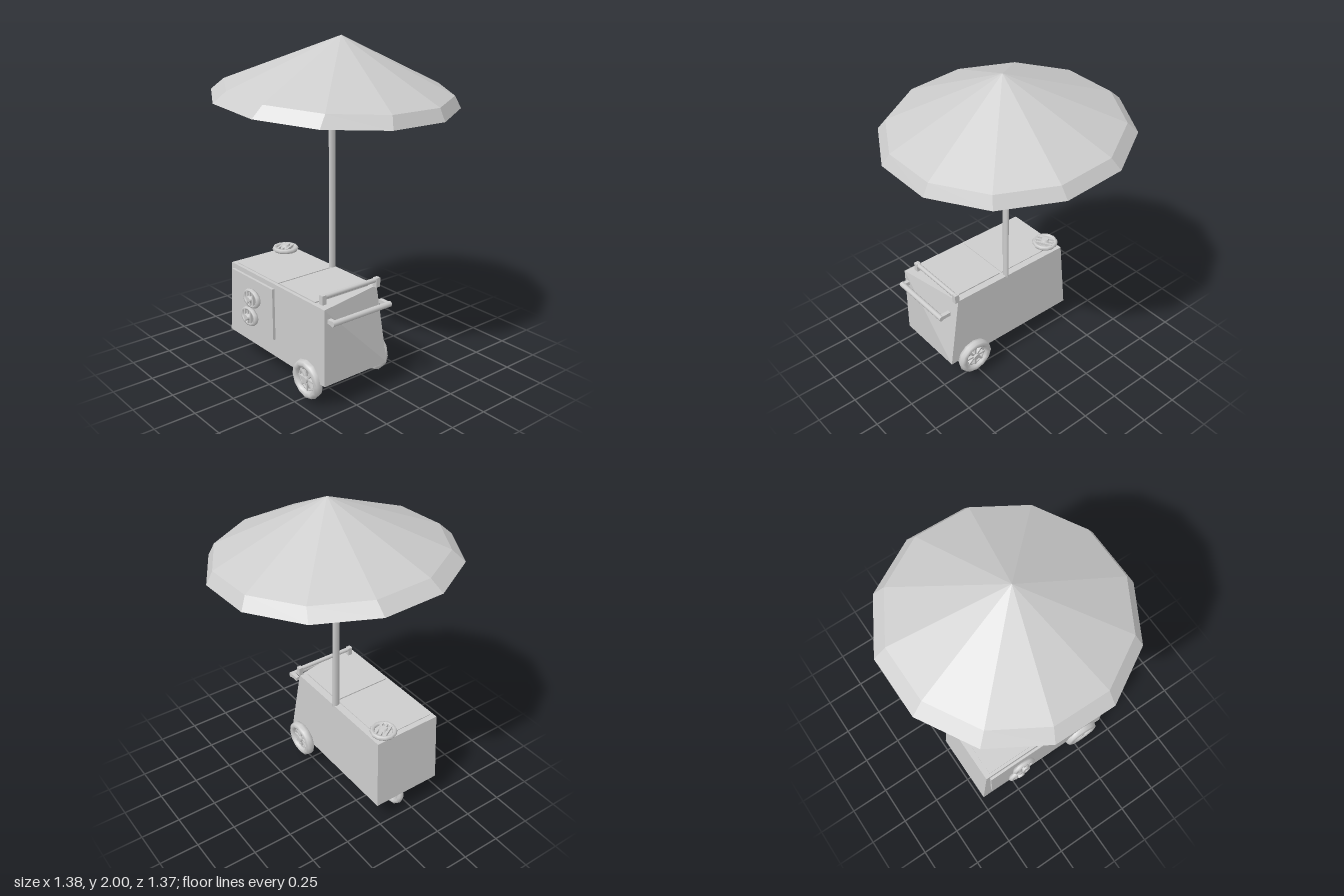
import * as THREE from 'three';

const grey = new THREE.MeshStandardMaterial({ color: 0xcccccc });
grey.name = 'light grey';

function add(parent, name, geo, x = 0, y = 0, z = 0) {
  const m = new THREE.Mesh(geo, grey);
  m.name = name;
  m.position.set(x, y, z);
  parent.add(m);
  return m;
}

function flat(geo) {
  const g = geo.index ? geo.toNonIndexed() : geo;
  g.computeVertexNormals();
  return g;
}

// Tyre, rim, hub and spokes, axle along x
function wheel(name, r, width, spokes) {
  const g = new THREE.Group();
  g.name = name;
  const tube = r * 0.2;
  const tyre = new THREE.TorusGeometry(r - tube, tube, 8, 12);
  tyre.scale(1, 1, width / (2 * tube));
  add(g, 'tyre', tyre.rotateY(Math.PI / 2));
  add(g, 'rim', new THREE.TorusGeometry(r * 0.56, r * 0.06, 6, 16).rotateY(Math.PI / 2));
  add(g, 'hub', new THREE.CylinderGeometry(r * 0.17, r * 0.17, width * 0.8, 10).rotateZ(Math.PI / 2));
  for (let i = 0; i < spokes; i++) {
    const s = new THREE.BoxGeometry(width * 0.35, r * 0.5, r * 0.1);
    s.translate(0, r * 0.35, 0).rotateX((i / spokes) * Math.PI * 2);
    add(g, 'spoke', s);
  }
  return g;
}

// Round slotted fitting lying flat, with a raised middle
function vent(name, r) {
  const g = new THREE.Group();
  g.name = name;
  const ring = new THREE.TorusGeometry(r * 0.82, r * 0.18, 6, 12).rotateX(Math.PI / 2);
  add(g, 'ring', ring);
  add(g, 'base', new THREE.CylinderGeometry(r * 0.75, r * 0.8, r * 0.12, 12), 0, -r * 0.08, 0);
  for (const k of [-0.35, 0, 0.35]) {
    add(g, 'slat', new THREE.BoxGeometry(r * 1.4, r * 0.25, r * 0.16), 0, r * 0.05, k * r);
  }
  add(g, 'knob', new THREE.CylinderGeometry(r * 0.25, r * 0.4, r * 0.3, 10), 0, r * 0.15, 0);
  return g;
}

// Rail along x with two end brackets
function rail(parent, name, x0, x1, r, bracket, offset) {
  const g = new THREE.Group();
  g.name = name;
  const c = (x0 + x1) / 2;
  add(g, 'bar', new THREE.CylinderGeometry(r, r, x1 - x0, 10).rotateZ(Math.PI / 2), c);
  for (const x of [x0 + 0.015, x1 - 0.015]) {
    add(g, 'bracket', new THREE.BoxGeometry(...bracket), x, ...offset);
  }
  parent.add(g);
  return g;
}

export function createModel() {
  const cart = new THREE.Group();
  cart.name = 'vendingCart';

  // Tapered body, its front leaning back on one side only
  const body = new THREE.BoxGeometry(1, 1, 1);
  const p = body.attributes.position;
  for (let i = 0; i < p.count; i++) {
    const left = p.getX(i) > 0, top = p.getY(i) > 0, front = p.getZ(i) > 0;
    const x = left ? (top ? 0.005 : 0.02) : -0.44;
    const z = front ? (top && left ? 0.37 : 0.45) : (top ? -0.455 : -0.49);
    p.setXYZ(i, x, top ? 0.62 : 0.16, z);
  }
  [16, 18, 19, 16, 19, 17].forEach((v, i) => body.index.setX(24 + i, v));
  add(cart, 'body', flat(body));

  // Lids on top
  add(cart, 'frontLid', new THREE.BoxGeometry(0.38, 0.008, 0.33), -0.23, 0.623, 0.18);
  add(cart, 'backLid', new THREE.BoxGeometry(0.38, 0.005, 0.42), -0.23, 0.622, -0.21);

  // Side panel with two round fittings
  add(cart, 'sidePanel', new THREE.BoxGeometry(0.02, 0.32, 0.42), -0.446, 0.43, -0.22);
  for (const [y, z] of [[0.475, -0.2], [0.35, -0.23]]) {
    const v = vent('sideVent', 0.06);
    v.rotation.z = Math.PI / 2;
    v.position.set(-0.472, y, z);
    v.scale.set(1, 1.5, 1.35);
    cart.add(v);
  }

  // Round fitting on the back of the top
  const topVent = vent('topVent', 0.083);
  topVent.position.set(-0.08, 0.643, -0.395);
  topVent.rotation.y = 0.5;
  cart.add(topVent);

  // Push handle on the front and guard rail on top
  rail(cart, 'pushHandle', -0.42, 0.0, 0.017, [0.025, 0.025, 0.06], [0, -0.03])
    .position.set(0, 0.548, 0.49);
  cart.children.at(-1).children.slice(1).forEach((b) => b.position.set(b.position.x, 0, -0.035));
  rail(cart, 'topRail', -0.41, 0.01, 0.014, [0.03, 0.055, 0.03], [-0.015, 0])
    .position.set(0, 0.661, 0.38);

  // Two large front wheels and a small one at the back
  const wheels = [
    ['leftFrontWheel', 0.12, 0.06, 0.05, 0.165, 0.293, -0.05],
    ['rightFrontWheel', 0.12, 0.06, -0.44, 0.145, 0.295, 0.05],
    ['backWheel', 0.093, 0.045, -0.19, 0.093, -0.38, 0.1],
  ];
  for (const [name, r, w, x, y, z, tilt] of wheels) {
    const wh = wheel(name, r, w, 8);
    wh.position.set(x, y, z);
    wh.rotation.z = tilt;
    cart.add(wh);
  }
  add(cart, 'backFork', new THREE.BoxGeometry(0.012, 0.09, 0.02), -0.19, 0.125, -0.38);

  // Oval pole
  const pole = new THREE.CylinderGeometry(0.023, 0.023, 1.05, 12);
  pole.scale(1, 1, 0.6);
  add(cart, 'pole', pole, -0.012, 1.135, -0.01);

  // Twelve-sided canopy, closed below and slightly tilted
  const profile = [[0, 0], [0.712, 0], [0.655, 0.068], [0, 0.358]]
    .map(([x, y]) => new THREE.Vector2(x, y));
  const canopy = new THREE.LatheGeometry(profile, 12, Math.PI / 12);
  const c = canopy.attributes.position;
  for (let i = 0; i < c.count; i++) {
    if (c.getY(i) > 0.01) c.setXYZ(i, c.getX(i) + 0.01, c.getY(i), c.getZ(i) + 0.014);
  }
  const top = add(cart, 'canopy', flat(canopy), 0, 1.643, -0.003);
  top.rotation.set(0.067, 0, -0.018);

  return cart;
}
